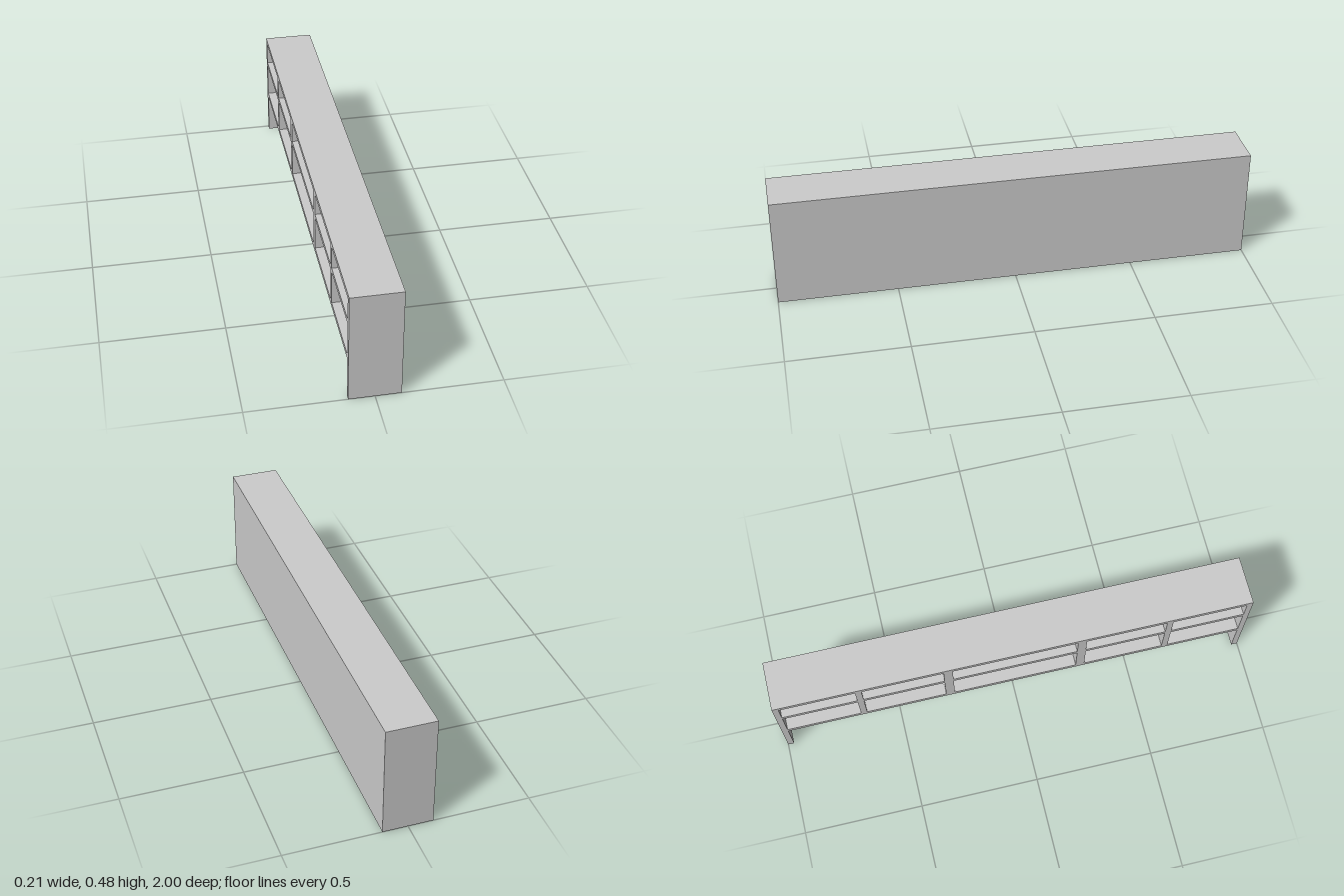
import * as THREE from 'three';

const W = 0.206, H = 0.477, L = 2; // depth (x), height (y), length (z)
const T = 0.02;                    // board thickness
const END = 0.025;                 // end panel thickness

export function createModel() {
  const group = new THREE.Group();
  const material = new THREE.MeshStandardMaterial({ color: 0xcccccc });

  // Board given by its lower and upper corner
  function board(name, [x0, y0, z0], [x1, y1, z1]) {
    const mesh = new THREE.Mesh(new THREE.BoxGeometry(x1 - x0, y1 - y0, z1 - z0), material);
    mesh.name = name;
    mesh.position.set((x0 + x1) / 2, (y0 + y1) / 2, (z0 + z1) / 2);
    group.add(mesh);
  }

  const open = -W / 2, back = W / 2 - T; // open side and inner face of the back
  const inner = L / 2 - END;
  const shelfY = 0.177, middleY = 0.342, topY = H - T;

  // Shell: top, full-height back and end panels that reach the floor
  board('topBoard', [open, topY, -L / 2], [W / 2, H, L / 2]);
  board('backPanel', [back, 0, -inner], [W / 2, topY, inner]);
  board('endPanelFront', [open, 0, inner], [W / 2, topY, L / 2]);
  board('endPanelRear', [open, 0, -L / 2], [W / 2, topY, -inner]);

  // Bottom shelf, raised above the floor
  board('bottomShelf', [open, shelfY, -inner], [back, shelfY + T, inner]);

  // Upright dividers: thick pair around the middle bay, thin pair outside
  const dividers = [[-0.65, 0.026], [-0.28, 0.037], [0.28, 0.037], [0.65, 0.026]];
  for (const [z, t] of dividers)
    board('divider', [open, shelfY + T, z - t / 2], [back, topY, z + t / 2]);

  // One middle shelf in each bay between uprights
  const edges = [-inner, ...dividers.flatMap(([z, t]) => [z - t / 2, z + t / 2]), inner];
  for (let i = 0; i < edges.length; i += 2)
    board('middleShelf', [open, middleY, edges[i]], [back, middleY + T, edges[i + 1]]);

  return group;
}
